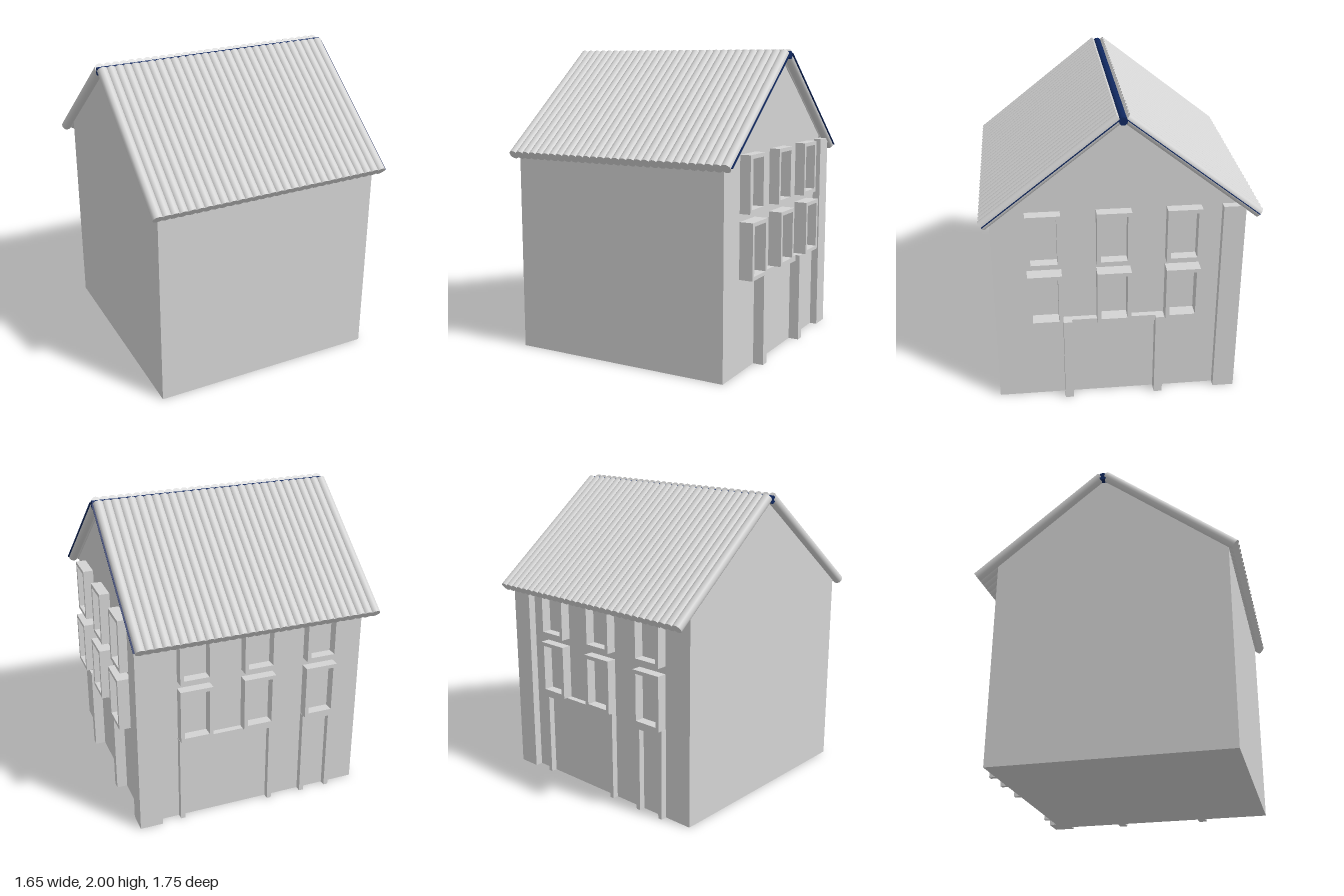
import * as THREE from 'three';

const WALL_X = 0.73, WALL_Z = -0.72;

export function createModel() {
  const house = new THREE.Group();
  house.name = 'house';
  const grey = new THREE.MeshStandardMaterial({ color: 0xd3d3d3 });
  grey.name = 'light grey';
  const navy = new THREE.MeshStandardMaterial({ color: 0x10285f });
  navy.name = 'navy';

  const add = (parent, name, geometry, material = grey) => {
    const mesh = new THREE.Mesh(geometry, material);
    mesh.name = name;
    parent.add(mesh);
    return mesh;
  };
  // Box given by its lower and upper corners
  const box = (parent, name, a, b, material) => {
    const mesh = add(parent, name, new THREE.BoxGeometry(b[0] - a[0], b[1] - a[1], b[2] - a[2]), material);
    mesh.position.set((a[0] + b[0]) / 2, (a[1] + b[1]) / 2, (a[2] + b[2]) / 2);
    return mesh;
  };

  // Gabled body, profile drawn in (-z, y) and extruded along x
  const roofY = (z) => 1.967 - 0.786 * Math.abs(z);
  const profile = new THREE.Shape([
    [-0.81, 0], [-WALL_Z, 0], [-WALL_Z, roofY(WALL_Z)], [0, 1.95], [-0.81, roofY(0.81)],
  ].map(([u, v]) => new THREE.Vector2(u, v)));
  const body = add(house, 'body', new THREE.ExtrudeGeometry(profile, { depth: WALL_X + 0.78, bevelEnabled: false }));
  body.rotation.y = Math.PI / 2;
  body.position.x = -0.78;

  // Corner pillar
  box(house, 'cornerPillar', [0.63, 0, -0.77], [0.78, 1.37, -0.63]);

  // Each decorated wall is a group whose local x runs along the wall and local z points outward
  const side = new THREE.Group();
  side.name = 'sideWallDetails';
  side.rotation.y = Math.PI / 2;
  side.position.x = WALL_X;
  const back = new THREE.Group();
  back.name = 'backWallDetails';
  back.rotation.y = Math.PI;
  back.position.z = WALL_Z;
  house.add(side, back);

  // Hollow window frame
  const windowFrame = (parent, u, y, depth) => {
    const w = 0.217, h = 0.36, t = 0.025;
    const rect = (C, x0, y0, x1, y1) => new C([
      new THREE.Vector2(x0, y0), new THREE.Vector2(x1, y0), new THREE.Vector2(x1, y1), new THREE.Vector2(x0, y1),
    ]);
    const shape = rect(THREE.Shape, -w / 2, 0, w / 2, h);
    shape.holes.push(rect(THREE.Path, -w / 2 + t, t, w / 2 - t, h - t));
    const frame = add(parent, 'windowFrame', new THREE.ExtrudeGeometry(shape, { depth, bevelEnabled: false }));
    frame.position.set(u, y, 0);
  };
  // Door surround: two jambs and a lintel
  const doorFrame = (parent, u0, u1, jamb, depth, lintelDepth) => {
    box(parent, 'doorJamb', [u0, 0, 0], [u0 + jamb, 0.6, depth]);
    box(parent, 'doorJamb', [u1 - jamb, 0, 0], [u1, 0.6, depth]);
    box(parent, 'doorLintel', [u0 + jamb, 0.56, 0], [u1 - jamb, 0.6, lintelDepth]);
  };

  for (const u of [-0.487, -0.05, 0.388]) {
    windowFrame(side, u, 0.6, 0.09);
    windowFrame(side, u, 1.01, 0.07);
  }
  doorFrame(side, -0.375, 0.275, 0.055, 0.07, 0.04);

  for (const u of [-0.39, 0.04, 0.475]) {
    windowFrame(back, u, 0.6, 0.065);
    windowFrame(back, u, 1.01, 0.065);
  }
  doorFrame(back, -0.5, 0.15, 0.03, 0.04, 0.04);
  doorFrame(back, 0.365, 0.585, 0.03, 0.04, 0.04);

  // Roof: a row of round battens on each slope over a thin sheet
  const top = new THREE.Vector2(0.02, 1.974), eave = new THREE.Vector2(0.856, 1.314);
  const length = top.distanceTo(eave);
  const angle = Math.atan2(eave.x - top.x, top.y - eave.y);
  const count = 30, first = -0.795, last = 0.763;
  const batten = new THREE.CylinderGeometry(0.033, 0.033, length, 16);
  for (const s of [1, -1]) {
    const slope = new THREE.Group();
    slope.name = s > 0 ? 'frontRoof' : 'backRoof';
    slope.position.set(0, (top.y + eave.y) / 2, s * (top.x + eave.x) / 2);
    slope.rotation.x = -s * angle;
    house.add(slope);
    for (let i = 0; i < count; i++) {
      add(slope, 'roofBatten', batten).position.x = first + (last - first) * i / (count - 1);
    }
    box(slope, 'roofSheet', [-0.822, -length / 2 + 0.005, -0.002], [0.806, length / 2, 0.002], navy);
  }

  // Ridge pole in the gap between the slopes
  const ridge = add(house, 'ridgePole', new THREE.CylinderGeometry(0.026, 0.026, 1.622, 12), navy);
  ridge.rotation.z = Math.PI / 2;
  ridge.position.set(-0.012, 1.963, 0);

  return house;
}
